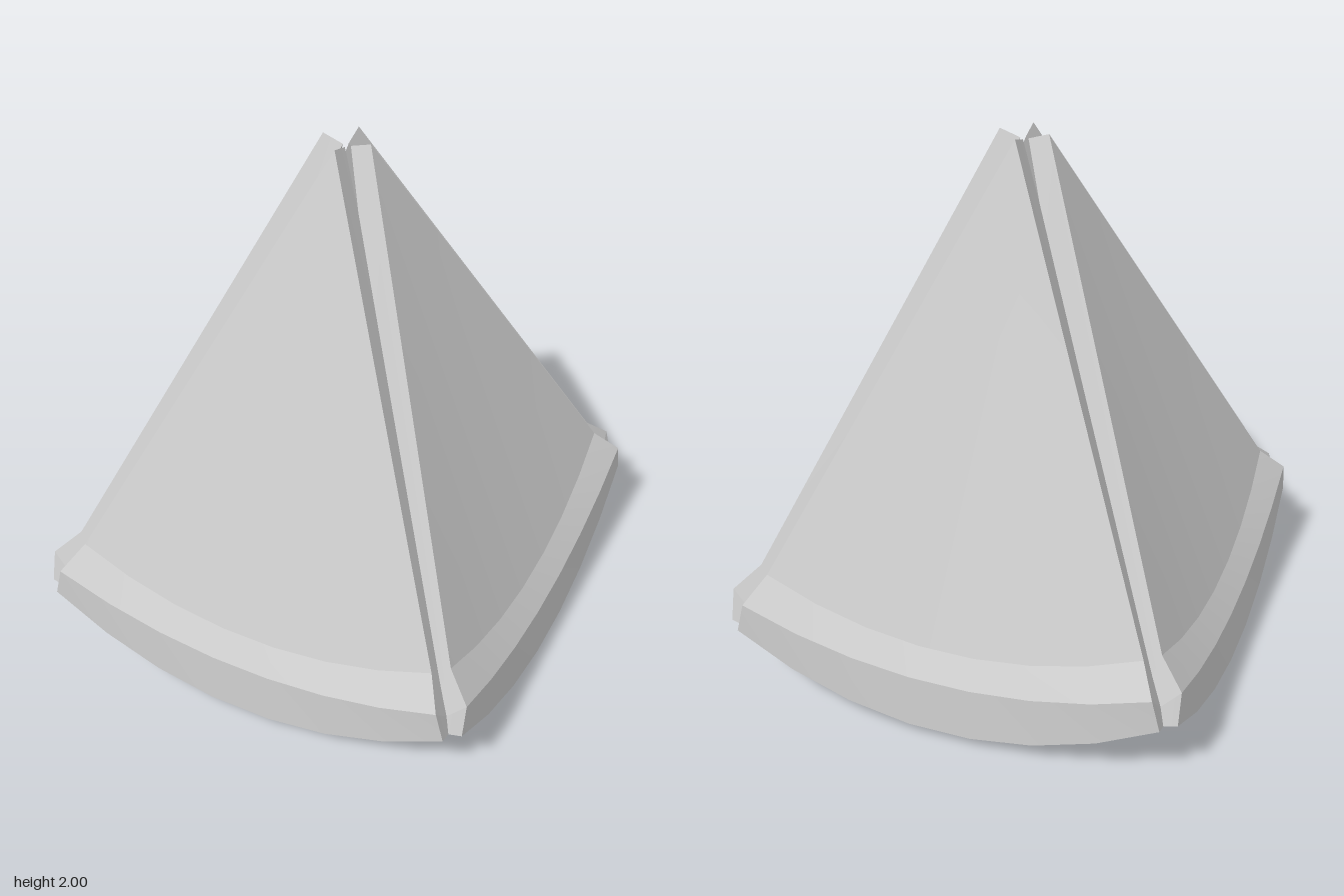
import * as THREE from 'three';
import { toCreasedNormals } from 'three/addons/utils/BufferGeometryUtils.js';

// Wedge panel facing +z: a side profile swept over a fan of columns.
function panelGeometry() {
  const segments = 7;
  const half = THREE.MathUtils.degToRad(23);
  // Profile rows: [centre y, centre z, corner x, corner y, corner z]
  const rows = [
    [2.0, 0.09, 0, 2.0, 0.09],        // outer tip
    [0.34, 0.79, 0.71, 0.48, 0.76],   // start of rim
    [0.25, 0.86, 0.77, 0.39, 0.85],   // rim shoulder
    [0.05, 0.875, 0.80, 0.27, 0.85],  // outer bottom edge
    [0.0, 0.74, 0.80, 0.215, 0.68],   // inner bottom edge
    [1.975, 0.015, 0, 1.975, 0.015],  // inner tip
  ];
  const columns = [];
  for (let j = 0; j <= segments; j++) {
    const a = half * (2 * j / segments - 1);
    const s = Math.sin(a) / Math.sin(half);
    const t = (1 - Math.cos(a)) / (1 - Math.cos(half));
    columns.push(rows.map(([y0, z0, x1, y1, z1]) =>
      [x1 * s, y0 + (y1 - y0) * t, z0 + (z1 - z0) * t]));
  }

  const positions = [];
  const tri = (a, b, c) => positions.push(...a, ...b, ...c);

  // Outer skin, rim, underside and inner skin
  const last = rows.length - 1;
  for (let j = 0; j < segments; j++) {
    const p = columns[j], q = columns[j + 1];
    for (let r = 0; r < last; r++) {
      if (r < last - 1) tri(p[r], p[r + 1], q[r + 1]);
      if (r > 0) tri(p[r], q[r + 1], q[r]);
    }
  }
  // Side faces, fanned from the inner bottom corner
  const left = columns[segments], right = columns[0];
  for (const [u, v] of [[5, 0], [0, 1], [1, 2], [2, 3]]) {
    tri(left[4], left[u], left[v]);
    tri(right[4], right[v], right[u]);
  }

  const geometry = new THREE.BufferGeometry();
  geometry.setAttribute('position', new THREE.Float32BufferAttribute(positions, 3));
  return toCreasedNormals(geometry, 0.2);
}

export function createModel() {
  const model = new THREE.Group();
  model.name = 'panelPyramid';
  const geometry = panelGeometry();
  const material = new THREE.MeshStandardMaterial({ color: 0xcccccc });

  // Four equal panels around the vertical axis
  ['frontPanel', 'leftPanel', 'backPanel', 'rightPanel'].forEach((name, i) => {
    const panel = new THREE.Mesh(geometry, material);
    panel.name = name;
    panel.rotation.y = i * Math.PI / 2;
    model.add(panel);
  });
  return model;
}
